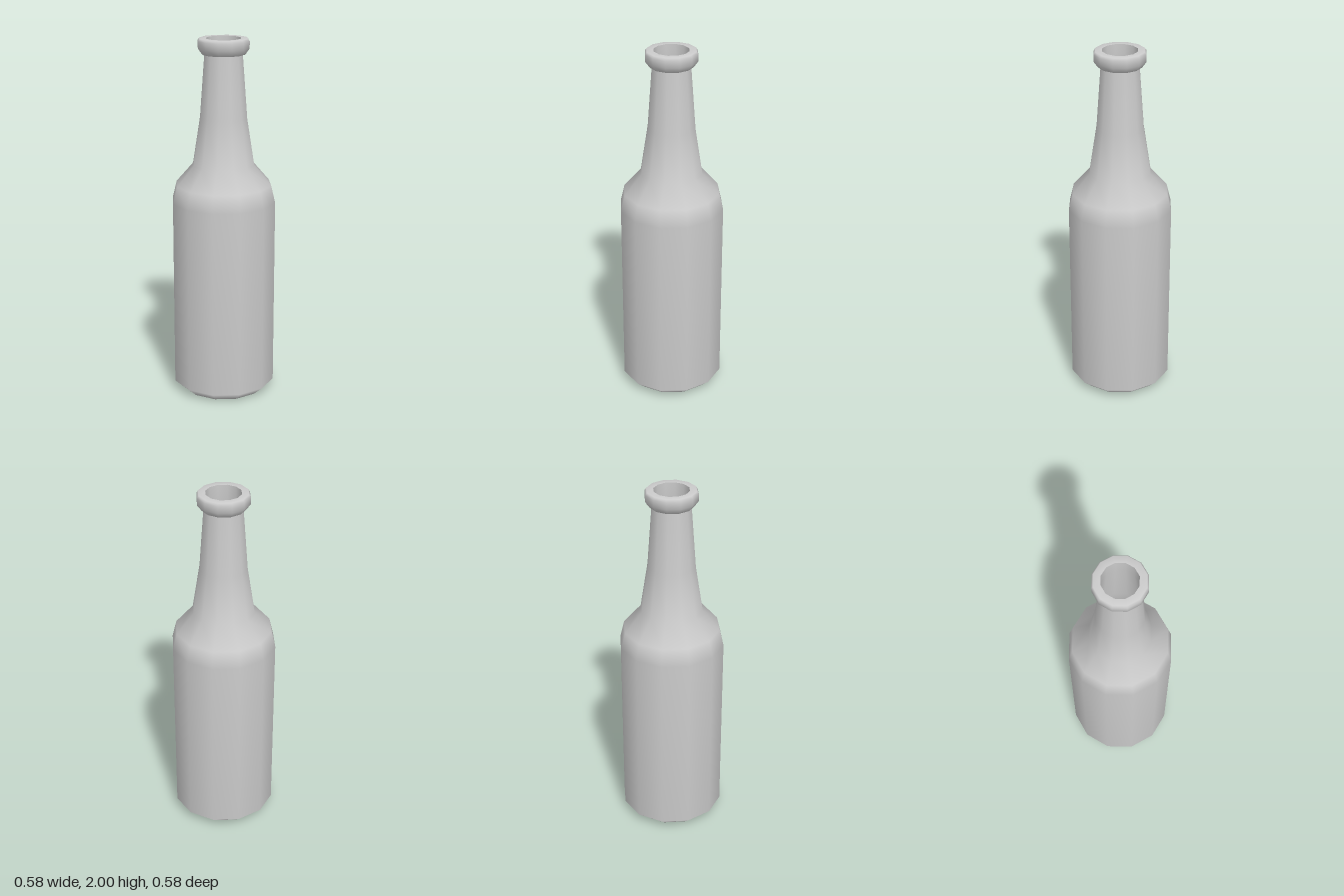
import * as THREE from 'three';

const SIDES = 12;

export function createModel() {
  const bottle = new THREE.Group();
  bottle.name = 'bottle';
  const material = new THREE.MeshStandardMaterial({ color: 0xcccccc });

  // Turns a list of [radius, height] pairs around the y axis
  const turn = (name, profile) => {
    const points = profile.map(([r, y]) => new THREE.Vector2(r, y));
    const mesh = new THREE.Mesh(new THREE.LatheGeometry(points, SIDES), material);
    mesh.name = name;
    bottle.add(mesh);
  };

  // Base, straight body, shoulder and tapering neck
  turn('body', [
    [0, 0], [0.235, 0], [0.29, 0.05], [0.29, 1.105], [0.267, 1.2],
    [0.172, 1.31], [0.131, 1.57], [0.105, 1.92],
  ]);

  // Rounded rim around the mouth
  turn('lip', [
    [0.104, 1.915], [0.118, 1.915], [0.142, 1.948], [0.142, 1.987],
    [0.133, 2], [0.096, 2],
  ]);

  // Hollow inside, from the mouth down to the floor
  turn('interior', [
    [0.096, 2], [0.096, 1.915], [0.121, 1.57], [0.16, 1.315],
    [0.253, 1.2], [0.276, 1.1], [0.276, 0.06], [0.228, 0.02], [0, 0.02],
  ]);

  return bottle;
}
